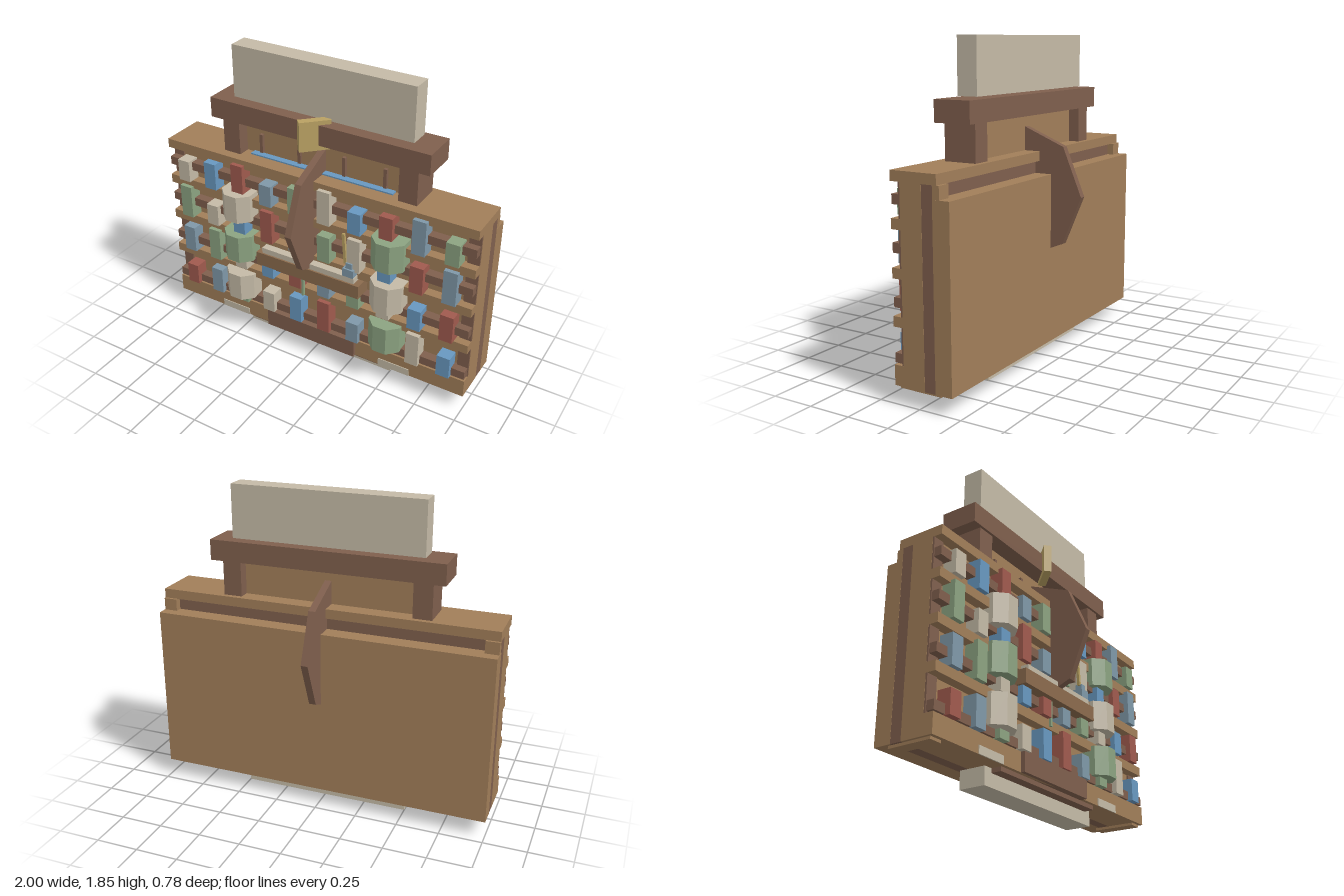
import * as THREE from 'three';

const mat = (name, color) => Object.assign(new THREE.MeshStandardMaterial({ color, flatShading: true }), { name });

export function createModel() {
  const g = new THREE.Group();
  g.name = 'apothecaryCabinet';
  const wood = mat('lightWood', 0xa17e59), brown = mat('darkWood', 0x7f5f4d), cream = mat('cream', 0xc4baa6);
  const red = mat('red', 0xa05a4e), blue = mat('blue', 0x6898c0), slate = mat('slate', 0x7f98a8);
  const green = mat('green', 0x8ca381), brass = mat('brass', 0xb8a062), counterWood = mat('counterWood', 0x8b6b4d);

  const add = (name, geo, m, x, y, z) => {
    const mesh = new THREE.Mesh(geo, m);
    mesh.name = name;
    mesh.position.set(x, y, z);
    g.add(mesh);
    return mesh;
  };
  // Box given by its lower and upper bounds
  const box = (name, m, x0, x1, y0, y1, z0, z1) =>
    add(name, new THREE.BoxGeometry(x1 - x0, y1 - y0, z1 - z0), m, (x0 + x1) / 2, (y0 + y1) / 2, (z0 + z1) / 2);

  // Carcass: front body, dark core and back panel
  box('frontBody', wood, -1, 1, 0.1, 1.16, -0.035, 0.095);
  box('core', brown, -0.999, 0.999, 0.1, 1.16, -0.1, -0.035);
  box('backPanel', wood, -1, 1, 0.1, 1.08, -0.2, -0.1);
  box('topSlab', wood, -1, 1, 1.15, 1.205, -0.125, 0.153);
  for (const s of [-1, 1]) {
    const side = (name, m, a, b, ...r) => box(name, m, Math.min(s * a, s * b), Math.max(s * a, s * b), ...r);
    side('pilaster', brown, 0.93, 0.999, 0.2, 1.15, 0.09, 0.105);
    side('foot', wood, 0.91, 0.985, 0.085, 0.14, -0.125, 0.13);
    side('backBlock', wood, 0.92, 0.998, 1.08, 1.15, -0.14, -0.1);
    side('signPost', brown, 0.51, 0.62, 1.2, 1.42, -0.095, 0.095);
    side('basePlate', cream, 0.46, 0.66, 0.1, 0.145, 0.15, 0.157);
    for (const x of [0.145, 0.4]) side('slat', brown, x - 0.01, x + 0.01, 1.22, 1.335, 0.02, 0.04);
  }

  // Shelves with dark rails, and the stock standing on them
  const colours = [cream, blue, red, slate, green], heights = [0.135, 0.17, 0.21];
  box('bottomRail', wood, -1, 1, 0.1, 0.21, 0.09, 0.152);
  for (let row = 0; row < 4; row++) {
    const base = 0.965 - row * 0.25;
    if (row < 3) box('shelf', wood, -1, 1, base - 0.055, base, 0.09, 0.153);
    const railY = [1.035, 0.79, 0.51, 0.22][row];
    box('rail', brown, -0.995, 0.995, railY, railY + 0.052, 0.09, 0.15);
    for (let c = 0; c < 10; c++) {
      const x = -0.875 + c * 0.1944, h = heights[(c + 3 - (row % 3)) % 3];
      box('bottle', colours[(c + row * 4) % 5], x - 0.04, x + 0.04, base, base + h, 0.1, 0.18);
    }
  }

  // Octagonal storage jars
  const jarGeo = new THREE.CylinderGeometry(0.108, 0.108, 0.175, 8).rotateY(Math.PI / 8);
  [0.908, 0.63, 0.352].forEach((y, i) => {
    add('jar', jarGeo, i % 2 ? green : cream, -0.5, y, 0.135);
    add('jar', jarGeo, i % 2 ? cream : green, 0.5, y, 0.135);
  });

  // Crown: back board, lintel and sign panel
  box('crownBoard', wood, -0.51, 0.51, 1.2, 1.4, -0.03, 0.02);
  box('crownTrim', blue, -0.46, 0.46, 1.2, 1.213, 0.02, 0.06);
  box('lintel', brown, -0.69, 0.69, 1.41, 1.53, -0.11, 0.11);
  box('signPanel', cream, -0.565, 0.565, 1.54, 1.85, -0.07, 0.05);
  const plate = box('brassPlate', brass, -0.09, 0.09, 1.38, 1.555, 0.083, 0.128);
  plate.rotation.y = Math.PI / 4;

  // Upright octagonal disc through the middle
  const disc = new THREE.CylinderGeometry(0.39, 0.39, 0.04, 8).rotateZ(Math.PI / 2);
  add('disc', disc, brown, 0, 0.963, 0);

  // Counter with a paper, ink bottle, quill and hook
  box('counter', counterWood, -0.345, 0.345, 0.565, 0.65, 0.1, 0.21);
  box('paper', cream, -0.31, 0.31, 0.65, 0.685, 0.14, 0.2);
  box('inkBottle', slate, 0.235, 0.305, 0.685, 0.735, 0.14, 0.2);
  box('inkNeck', slate, 0.25, 0.29, 0.735, 0.77, 0.15, 0.19);
  const quill = box('quill', brass, 0.228, 0.245, 0.76, 0.95, 0.17, 0.185);
  quill.rotation.z = 0.08;
  box('hook', green, -0.055, -0.04, 0.42, 0.565, 0.16, 0.175);

  // Base drawer and plinth
  box('drawer', brown, -0.305, 0.305, 0.1, 0.21, 0.1, 0.175);
  box('plinthStrip', brown, -0.445, 0.445, 0.075, 0.105, -0.06, 0.13);
  box('plinth', cream, -0.5, 0.5, 0, 0.1, -0.085, 0.07);
  return g;
}
